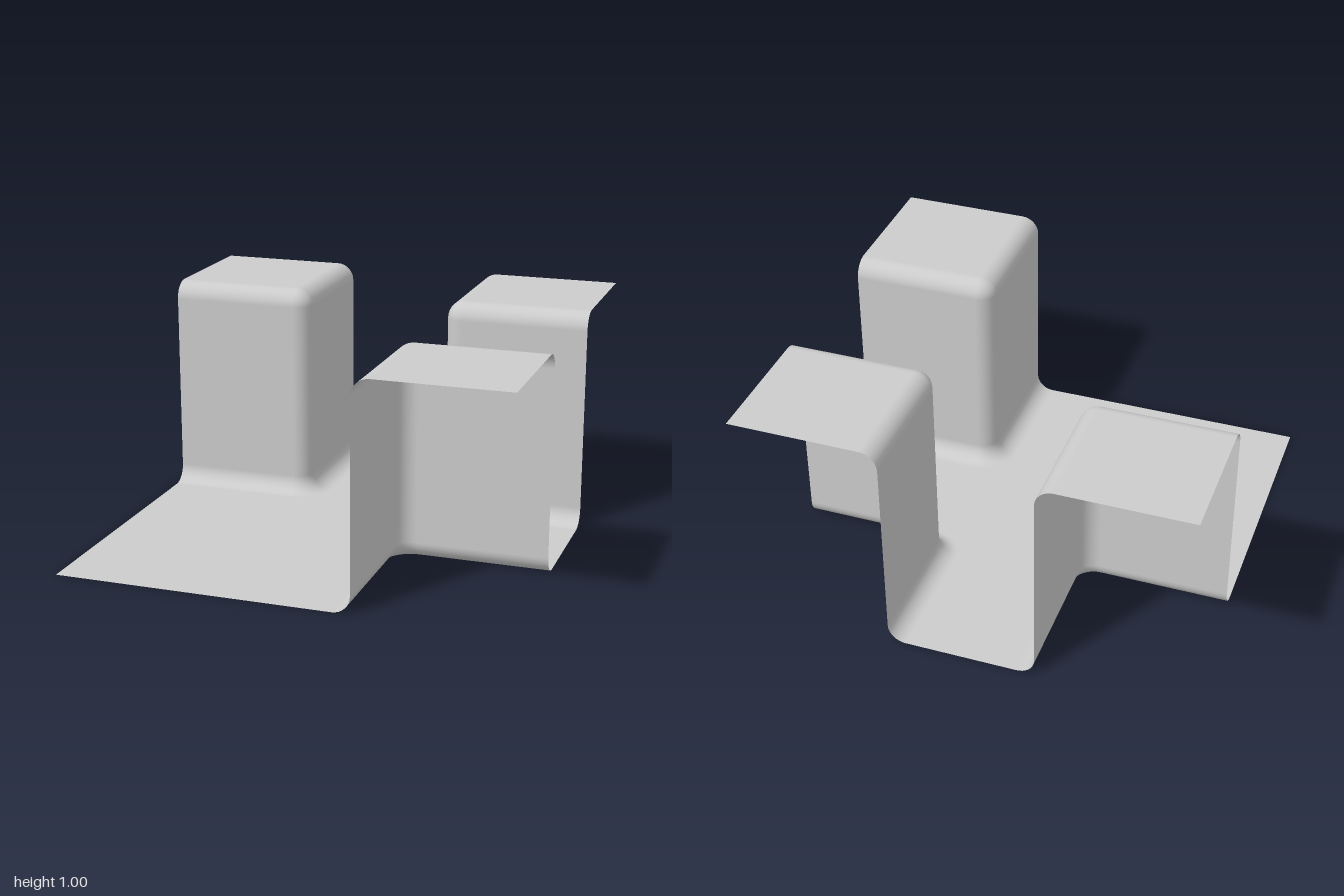
import * as THREE from 'three';

const HALF = 1, HEIGHT = 1, R = 0.08;
const C = 1 / 3 + R;      // centre of the rounded vertical corner
const EDGE = C - 2 * R;   // where the floor meets the lower fillet
const SEG = 8;

const material = new THREE.MeshStandardMaterial({ color: 0xcccccc, side: THREE.DoubleSide });

// Wall section: r is the distance from the corner centre, with its normal (nr, ny)
function wallProfile() {
  const points = [];
  for (let i = 0; i <= SEG; i++) {
    const a = (i / SEG) * Math.PI / 2, s = Math.sin(a), c = Math.cos(a);
    points.push({ r: 2 * R - R * s, y: R - R * c, nr: s, ny: c });
  }
  for (let i = 0; i <= SEG; i++) {
    const a = (i / SEG) * Math.PI / 2, s = Math.sin(a), c = Math.cos(a);
    points.push({ r: R * c, y: HEIGHT - R + R * s, nr: c, ny: s });
  }
  return points;
}

// L-shaped path: straight side, rounded corner, straight side
function wallPath() {
  const stations = [{ x: HALF, z: C, dx: 0, dz: -1 }];
  for (let i = 0; i <= SEG; i++) {
    const a = (i / SEG) * Math.PI / 2;
    stations.push({ x: C, z: C, dx: -Math.sin(a), dz: -Math.cos(a) });
  }
  stations.push({ x: C, z: HALF, dx: -1, dz: 0 });
  return stations;
}

// Sweep the wall section along the path
function wallGeometry() {
  const profile = wallProfile(), path = wallPath(), n = profile.length;
  const positions = [], normals = [], index = [];
  path.forEach((s, i) => {
    profile.forEach((p, j) => {
      positions.push(s.x + p.r * s.dx, p.y, s.z + p.r * s.dz);
      normals.push(p.nr * s.dx, p.ny, p.nr * s.dz);
      if (i < path.length - 1 && j < n - 1) {
        const a = i * n + j, b = a + n;
        index.push(a, b, a + 1, b, b + 1, a + 1);
      }
    });
  });
  const geometry = new THREE.BufferGeometry();
  geometry.setAttribute('position', new THREE.Float32BufferAttribute(positions, 3));
  geometry.setAttribute('normal', new THREE.Float32BufferAttribute(normals, 3));
  geometry.setIndex(index);
  return geometry;
}

// Floor sheet with a rounded notch at three of its corners
function floorGeometry() {
  const shape = new THREE.Shape();
  shape.moveTo(-HALF, -HALF);
  shape.lineTo(EDGE, -HALF);
  shape.absarc(C, -C, 2 * R, Math.PI, Math.PI / 2, true);
  shape.lineTo(HALF, -EDGE);
  shape.lineTo(HALF, EDGE);
  shape.absarc(C, C, 2 * R, Math.PI * 1.5, Math.PI, true);
  shape.lineTo(EDGE, HALF);
  shape.lineTo(-EDGE, HALF);
  shape.absarc(-C, C, 2 * R, 0, -Math.PI / 2, true);
  shape.lineTo(-HALF, EDGE);
  shape.closePath();
  return new THREE.ShapeGeometry(shape, SEG / 2).rotateX(-Math.PI / 2);
}

function addMesh(parent, geometry, name) {
  const mesh = new THREE.Mesh(geometry, material);
  mesh.name = name;
  parent.add(mesh);
}

export function createModel() {
  const model = new THREE.Group();
  model.name = 'crossroadTile';
  addMesh(model, floorGeometry(), 'floor');

  // Raised corners, open underneath and along the tile border
  const wall = wallGeometry();
  const size = HALF - C, mid = (HALF + C) / 2;
  const top = new THREE.PlaneGeometry(size, size).rotateX(-Math.PI / 2).translate(mid, HEIGHT, mid);
  ['frontLeftBlock', 'backLeftBlock', 'backRightBlock'].forEach((name, i) => {
    const block = new THREE.Group();
    block.name = name;
    addMesh(block, wall, 'roundedWall');
    addMesh(block, top, 'topSheet');
    block.rotation.y = i * Math.PI / 2;
    model.add(block);
  });
  return model;
}
